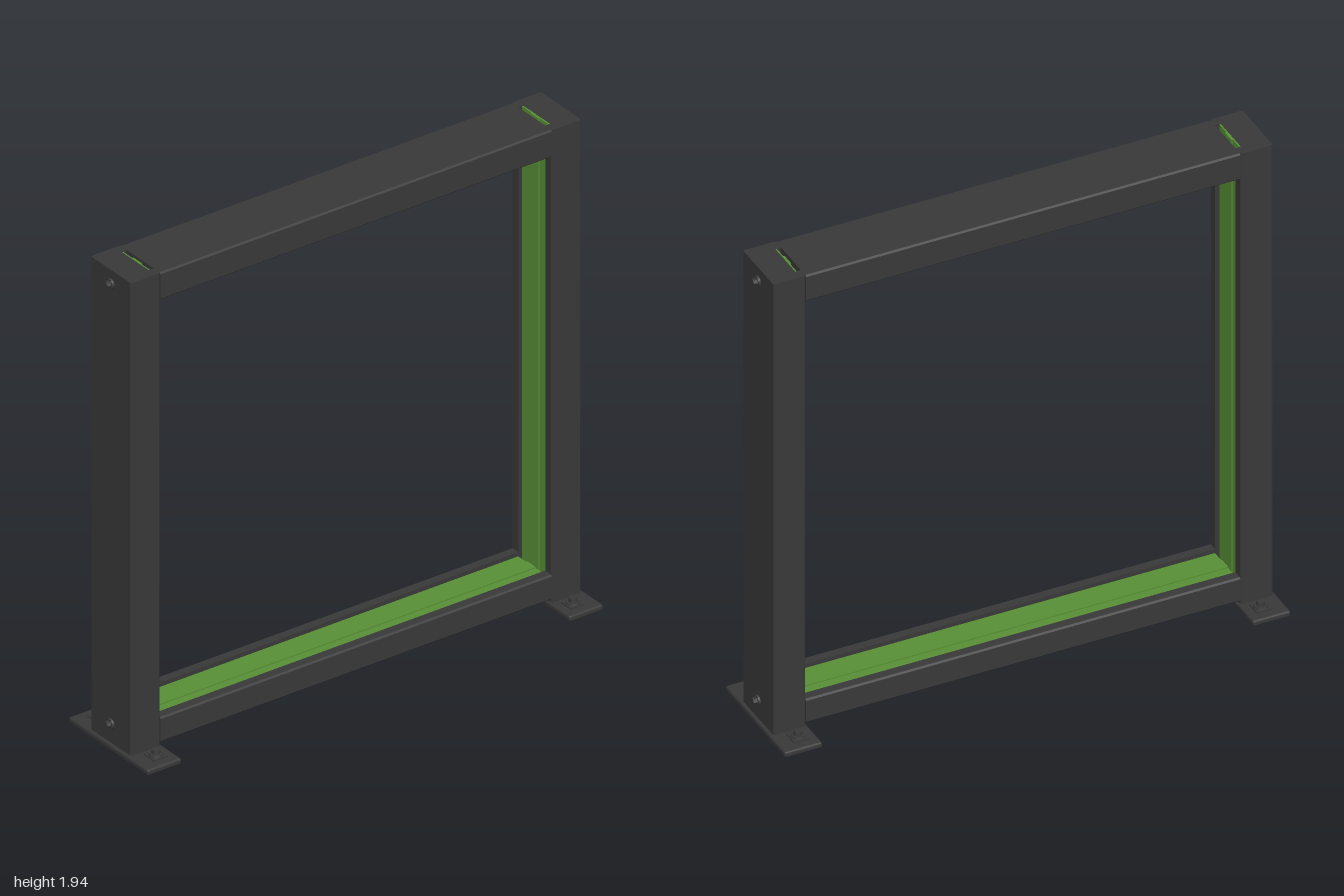
import * as THREE from 'three';
import { RoundedBoxGeometry } from 'three/addons/geometries/RoundedBoxGeometry.js';

const HALF_DEPTH = 0.12, GROOVE = 0.08, RECESS = 0.022;

export function createModel() {
  const steel = new THREE.MeshStandardMaterial({ color: 0x383838 });
  steel.name = 'charcoalSteel';
  const green = new THREE.MeshStandardMaterial({ color: 0x588f35 });
  green.name = 'greenLiner';
  const black = new THREE.MeshStandardMaterial({ color: 0x1c1c1c });
  black.name = 'blackRubber';

  const model = new THREE.Group();
  model.name = 'squareFrame';

  function add(parent, name, geometry, material, x = 0, y = 0, z = 0) {
    const mesh = new THREE.Mesh(geometry, material);
    mesh.name = name;
    mesh.position.set(x, y, z);
    parent.add(mesh);
    return mesh;
  }

  // Grooved bar along x, groove opening towards +y, outer face at y = 0
  function channel(name, length, thick, lined) {
    const group = new THREE.Group();
    group.name = name;
    const b = 0.006, d = HALF_DEPTH;
    const shape = new THREE.Shape([
      [-d + b, 0], [d - b, 0], [d, b], [d, thick - b], [d - b, thick],
      [GROOVE, thick], [GROOVE, thick - RECESS], [-GROOVE, thick - RECESS], [-GROOVE, thick],
      [-d + b, thick], [-d, thick - b], [-d, b],
    ].map(([x, y]) => new THREE.Vector2(x, y)));
    const geometry = new THREE.ExtrudeGeometry(shape, { depth: length, bevelEnabled: false });
    geometry.translate(0, 0, -length / 2).rotateY(Math.PI / 2);
    add(group, name + 'Channel', geometry, steel);

    // Groove floor and its low central bead
    const floor = thick - RECESS;
    const liner = lined ? green : steel;
    add(group, name + 'Liner', new THREE.BoxGeometry(length - 0.002, 0.006, GROOVE * 2 - 0.002), liner, 0, floor + 0.003, 0);
    add(group, name + 'Bead', new THREE.BoxGeometry(length - 0.002, 0.006, 0.05), liner, 0, floor + 0.008, 0);
    model.add(group);
    return group;
  }

  // Crossbars
  channel('bottomBar', 1.7, 0.1, true).position.set(0, 0.05, 0);
  const top = channel('topBar', 1.7, 0.11, false);
  top.rotation.z = Math.PI;
  top.position.set(0, 1.945, 0);

  // Hexagonal bolt on a round washer, pointing up
  function bolt(name, radius, height) {
    const group = new THREE.Group();
    group.name = name;
    add(group, 'washer', new THREE.CylinderGeometry(radius * 1.35, radius * 1.5, height * 0.35, 16), steel, 0, height * 0.175, 0);
    const head = new THREE.CylinderGeometry(radius * 0.85, radius, height * 0.65, 6).toNonIndexed();
    head.computeVertexNormals();
    add(group, 'boltHead', head, steel, 0, height * 0.675, 0);
    return group;
  }

  for (const side of [1, -1]) {
    const label = side > 0 ? 'left' : 'right';

    // Upright post
    const post = channel(label + 'Post', 1.912, 0.127, true);
    post.rotation.z = side * Math.PI / 2;
    post.position.set(side * 0.977, 0.989, 0);

    // Side bolts
    for (const y of [0.115, 1.89]) {
      const sideBolt = bolt(label + 'SideBolt', 0.014, 0.023);
      sideBolt.rotation.z = -side * Math.PI / 2;
      sideBolt.position.set(side * 0.977, y, 0);
      model.add(sideBolt);
    }

    // Foot plate with a dark sole
    add(model, label + 'FootPlate', new RoundedBoxGeometry(0.148, 0.024, 0.47, 2, 0.008), steel, side * 0.916, 0.025, 0);
    add(model, label + 'FootSole', new THREE.BoxGeometry(0.12, 0.008, 0.44), black, side * 0.916, 0.01, 0);

    // Floor anchors: square washer and bolt
    for (const z of [0.168, -0.168]) {
      add(model, label + 'AnchorPlate', new THREE.BoxGeometry(0.06, 0.006, 0.06), steel, side * 0.905, 0.039, z);
      const anchor = bolt(label + 'AnchorBolt', 0.018, 0.024);
      anchor.position.set(side * 0.905, 0.041, z);
      model.add(anchor);
    }
  }
  return model;
}
